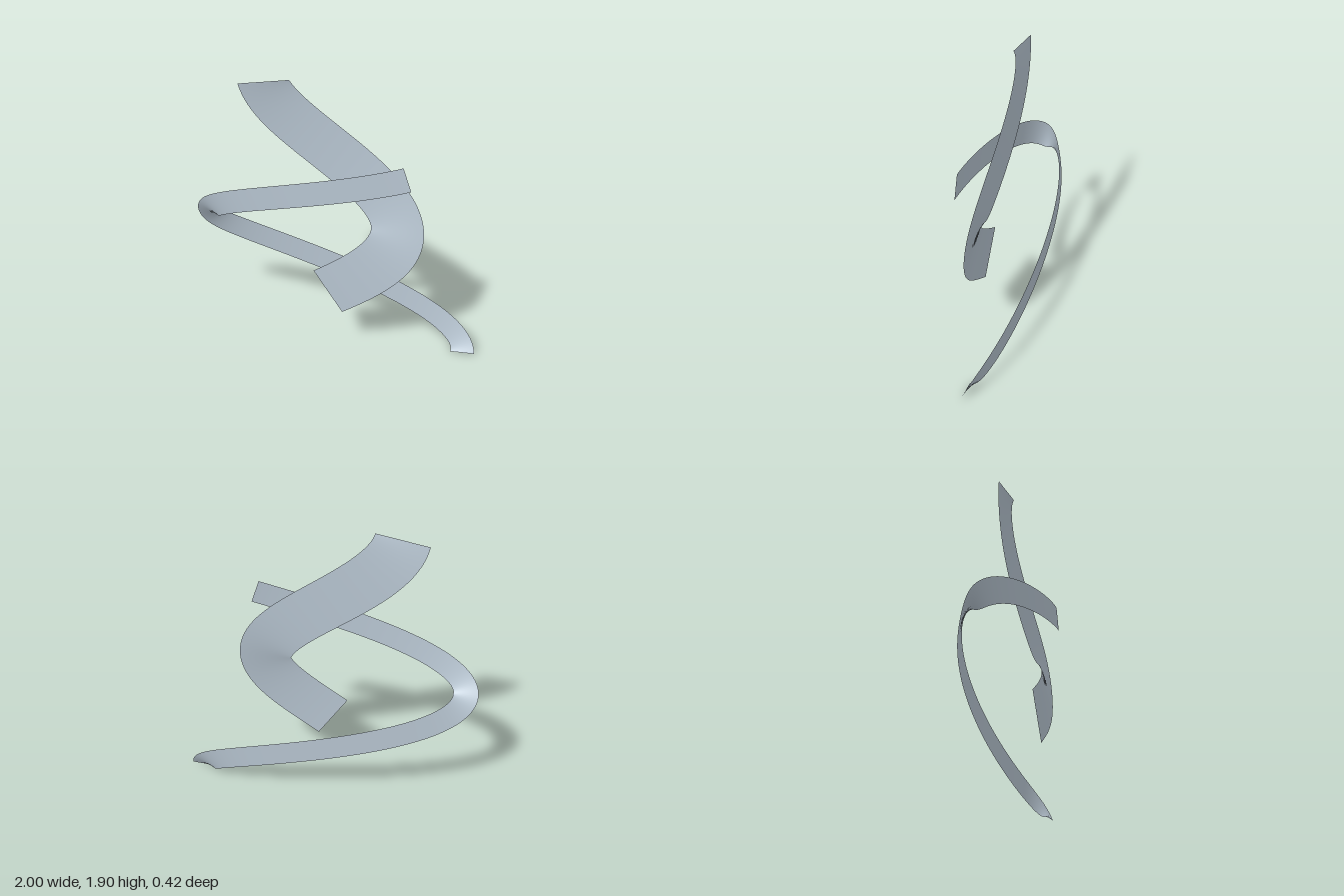
import * as THREE from 'three';

// Flat ribbon swept along a path; its width lies across the path in the xy plane
function ribbon(name, path, from, to, width, material, steps = 180) {
  const positions = [], index = [];
  const e = 1e-4;
  for (let i = 0; i <= steps; i++) {
    const t = from + (to - from) * i / steps;
    const p = path(t);
    const d = path(t + e).sub(path(t - e));
    const n = new THREE.Vector3(-d.y, d.x, 0).setLength(width / 2);
    positions.push(...p.clone().sub(n).toArray(), ...p.clone().add(n).toArray());
    if (i < steps) {
      const a = i * 2;
      index.push(a, a + 2, a + 1, a + 1, a + 2, a + 3);
    }
  }
  const geometry = new THREE.BufferGeometry();
  geometry.setAttribute('position', new THREE.Float32BufferAttribute(positions, 3));
  geometry.setIndex(index);
  geometry.computeVertexNormals();
  const mesh = new THREE.Mesh(geometry, material);
  mesh.name = name;
  return mesh;
}

export function createModel() {
  const group = new THREE.Group();
  group.name = 'twinRibbons';
  const paleSteel = new THREE.MeshStandardMaterial({ color: 0xb8c6d2, side: THREE.DoubleSide });
  paleSteel.name = 'paleSteel';

  // Long narrow ribbon: a flattened helix rising behind, then across the front
  const narrowPath = t => new THREE.Vector3(
    0.916 * Math.cos(t), 0.006 + 0.256 * t, -0.21 * Math.sin(t));
  group.add(ribbon('narrowRibbon', narrowPath, 0.025, 5.33, 0.168, paleSteel));

  // Short wide ribbon: a tighter helix turning the other way inside the loop
  const widePath = t => new THREE.Vector3(
    0.455 * Math.sin(t), 0.427 + 0.315 * t, 0.088 + 0.064 * Math.cos(t));
  group.add(ribbon('wideRibbon', widePath, 0, 4.577, 0.357, paleSteel));

  return group;
}
